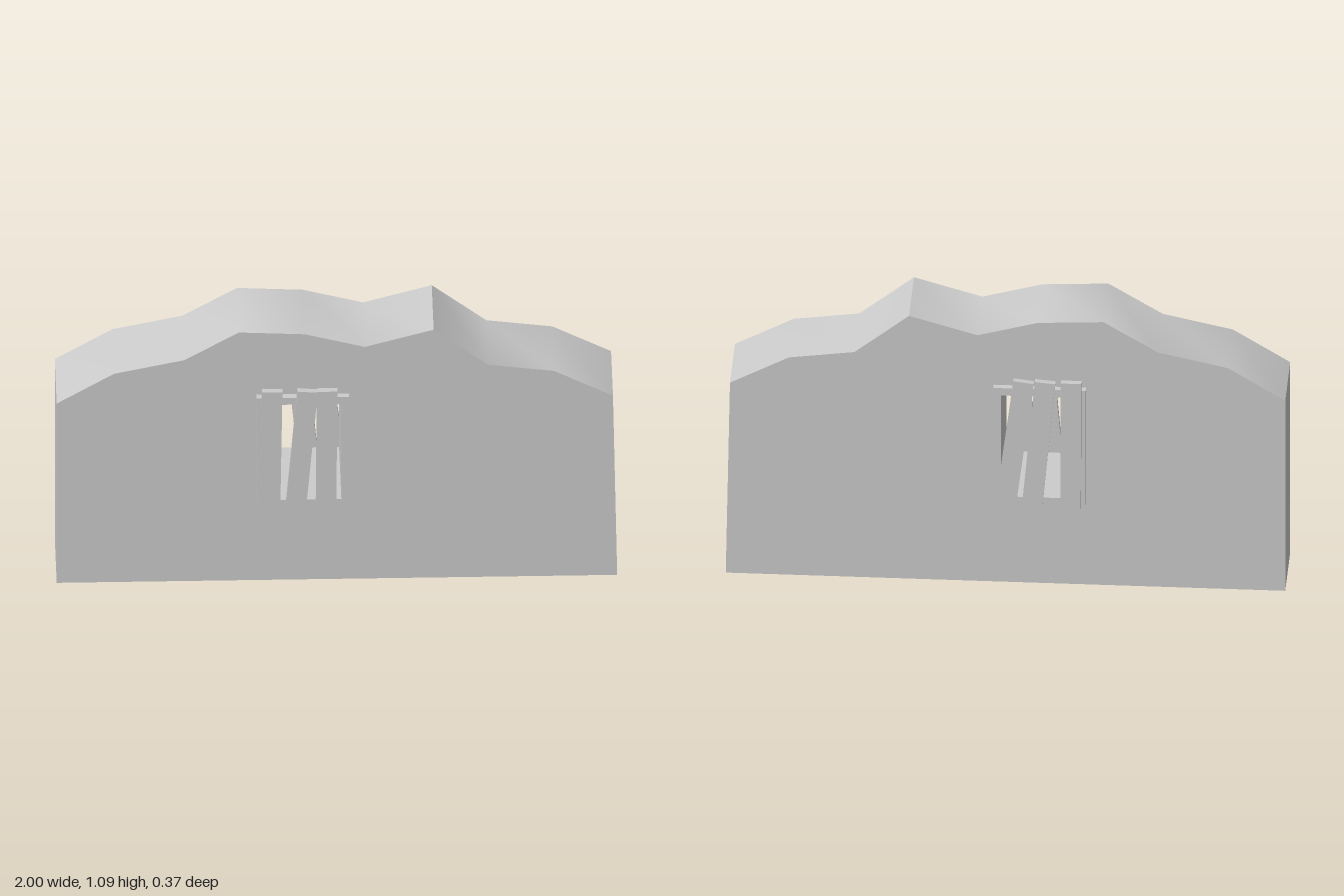
import * as THREE from 'three';
import { toCreasedNormals } from 'three/addons/utils/BufferGeometryUtils.js';

const material = new THREE.MeshStandardMaterial({ color: 0xcccccc });

function addMesh(parent, name, geometry) {
  const mesh = new THREE.Mesh(geometry, material);
  mesh.name = name;
  parent.add(mesh);
  return mesh;
}

// Points of an upright rectangle
const rect = (x0, y0, x1, y1) =>
  [[x0, y0], [x1, y0], [x1, y1], [x0, y1]].map(([x, y]) => new THREE.Vector2(x, y));

// Outline with a rectangular hole, extruded evenly about z = 0
function slab(outline, hole, depth) {
  const shape = new THREE.Shape(outline);
  shape.holes.push(new THREE.Path(hole));
  const geometry = new THREE.ExtrudeGeometry(shape, { depth, bevelEnabled: false });
  return geometry.translate(0, 0, -depth / 2);
}

export function createModel() {
  const model = new THREE.Group();
  model.name = 'boardedWindowWall';

  // Wall with a broken, uneven top and a window opening
  const outline = [
    [-1, 0], [1, 0], [0.985, 0.785], [0.775, 0.897], [0.54, 0.928], [0.345, 1.085],
    [0.1, 1.014], [-0.115, 1.073], [-0.35, 1.085], [-0.545, 0.967], [-0.795, 0.912], [-1, 0.785],
  ].map(([x, y]) => new THREE.Vector2(x, y));
  const opening = rect(-0.288, 0.34, 0.042, 0.812);
  addMesh(model, 'wall', toCreasedNormals(slab(outline, opening, 0.274), 0.75));

  // Window frame lining the opening and standing proud on both sides
  addMesh(model, 'windowFrame', slab(opening, rect(-0.262, 0.366, 0.015, 0.782), 0.32));

  // Crooked boards nailed over both sides: [x, tilt]
  const boards = {
    front: [[-0.236, -0.015], [-0.127, -0.083], [-0.038, -0.008]],
    back: [[-0.236, 0.003], [-0.121, 0.09], [-0.035, 0.125]],
  };
  const boardGeometry = new THREE.BoxGeometry(0.073, 0.517, 0.022);
  for (const [side, list] of Object.entries(boards)) {
    const group = new THREE.Group();
    group.name = side + 'Boards';
    list.forEach(([x, tilt], i) => {
      const board = addMesh(group, `${side}Board${i + 1}`, boardGeometry);
      board.position.set(x, 0.595, side === 'front' ? 0.173 : -0.173);
      board.rotation.z = tilt;
    });
    model.add(group);
  }
  return model;
}
